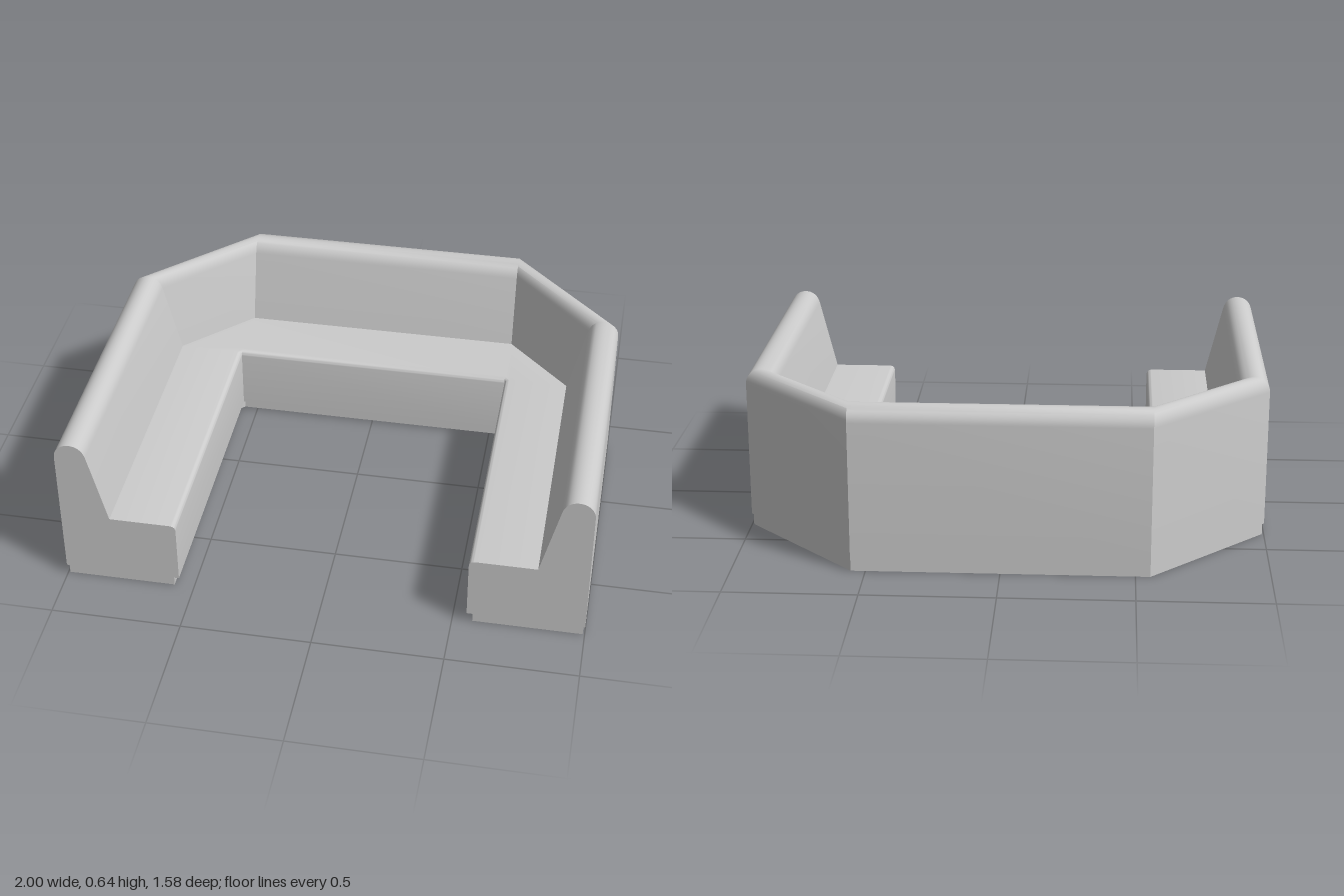
import * as THREE from 'three';
import { toCreasedNormals } from 'three/addons/utils/BufferGeometryUtils.js';

const PIVOT_X = 0.555, PIVOT_Z = -0.345, DEPTH = 0.445;

// Sweep a closed counter-clockwise profile (r outward from the inner seat line, y up) round the U
function sweepRoundU(profile, endZ) {
  const sections = [
    [PIVOT_X, endZ, 1, 0], [PIVOT_X, PIVOT_Z, 1, 0], [PIVOT_X, PIVOT_Z, 0, -1],
    [-PIVOT_X, PIVOT_Z, 0, -1], [-PIVOT_X, PIVOT_Z, -1, 0], [-PIVOT_X, endZ, -1, 0],
  ];
  const n = profile.length;
  const positions = [], index = [];
  for (const [px, pz, dx, dz] of sections) {
    for (const p of profile) positions.push(px + dx * p.x, p.y, pz + dz * p.x);
  }
  for (let s = 0; s < sections.length - 1; s++) {
    for (let i = 0; i < n; i++) {
      const j = (i + 1) % n;
      const a = s * n + i, b = s * n + j, c = a + n, d = b + n;
      index.push(a, c, b, b, c, d);
    }
  }
  // Flat ends of both arms
  const last = (sections.length - 1) * n;
  for (const [a, b, c] of THREE.ShapeUtils.triangulateShape(profile, [])) {
    index.push(a, b, c, last + a, last + c, last + b);
  }
  const geometry = new THREE.BufferGeometry();
  geometry.setAttribute('position', new THREE.Float32BufferAttribute(positions, 3));
  geometry.setIndex(index);
  return toCreasedNormals(geometry, 0.5);
}

export function createModel() {
  const group = new THREE.Group();
  group.name = 'cornerSofa';
  const material = new THREE.MeshStandardMaterial({ color: 0xcccccc });

  function addPart(name, profile, endZ) {
    const mesh = new THREE.Mesh(sweepRoundU(profile, endZ), material);
    mesh.name = name;
    group.add(mesh);
  }

  // Upholstered seat with leaning, round-topped backrest
  const seat = new THREE.Shape();
  seat.moveTo(0, 0.045);
  seat.lineTo(DEPTH, 0.045);
  seat.lineTo(DEPTH, 0.58);
  seat.bezierCurveTo(DEPTH, 0.613, 0.418, 0.64, 0.385, 0.64);
  seat.bezierCurveTo(0.355, 0.64, 0.333, 0.622, 0.325, 0.59);
  seat.lineTo(0.255, 0.305);
  seat.lineTo(0.025, 0.305);
  seat.quadraticCurveTo(0, 0.305, 0, 0.28);
  seat.lineTo(0, 0.045);
  const points = seat.getPoints(8);
  points.pop(); // last point repeats the first
  addPart('seatAndBackrest', points, 0.79);

  // Recessed plinth
  const plinth = [[0.022, 0], [0.438, 0], [0.438, 0.045], [0.022, 0.045]]
    .map(([r, y]) => new THREE.Vector2(r, y));
  addPart('plinth', plinth, 0.78);

  return group;
}
